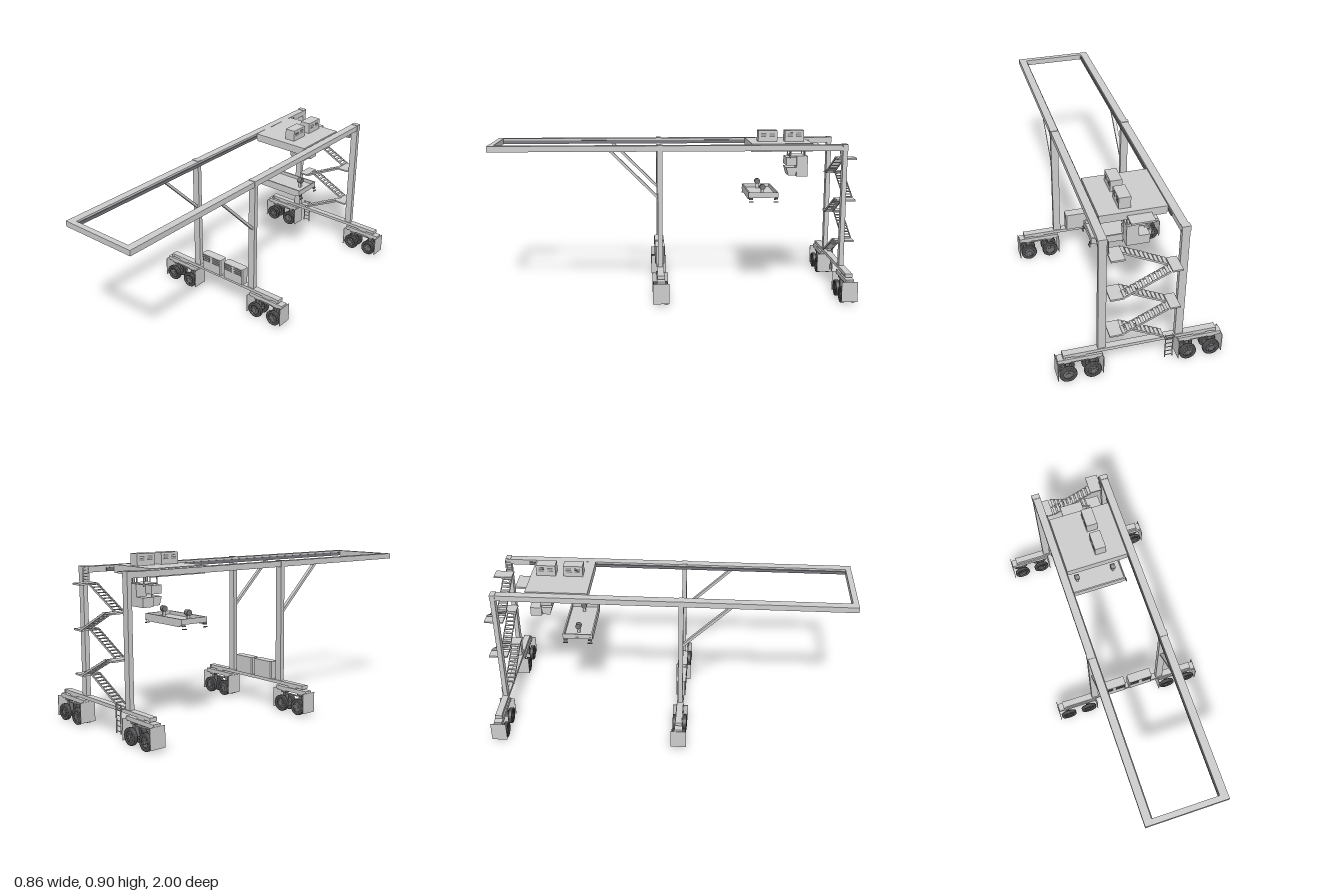
import * as THREE from 'three';

const paint = new THREE.MeshStandardMaterial({ color: 0xcccccc });
paint.name = 'light grey paint';
const rubber = new THREE.MeshStandardMaterial({ color: 0x4c4c4c });
rubber.name = 'dark rubber';
const steel = new THREE.MeshStandardMaterial({ color: 0x74767a });
steel.name = 'dark steel';

function add(parent, name, geo, mat = paint) {
  const m = new THREE.Mesh(geo, mat);
  m.name = name;
  parent.add(m);
  return m;
}

// box given by its min and max on each axis
function box(parent, name, x0, x1, y0, y1, z0, z1, mat) {
  const m = add(parent, name, new THREE.BoxGeometry(x1 - x0, y1 - y0, z1 - z0), mat);
  m.position.set((x0 + x1) / 2, (y0 + y1) / 2, (z0 + z1) / 2);
  return m;
}

// rectangular bar between two points
function bar(parent, name, a, b, w, h, mat) {
  const p = new THREE.Vector3(...a), q = new THREE.Vector3(...b);
  const m = add(parent, name, new THREE.BoxGeometry(w, h, p.distanceTo(q)), mat);
  m.position.copy(p).lerp(q, 0.5);
  m.lookAt(q);
  return m;
}

// outline in x/y extruded symmetrically along z
function slab(parent, name, pts, depth, mat) {
  const s = new THREE.Shape(pts.map(p => new THREE.Vector2(...p)));
  const g = new THREE.ExtrudeGeometry(s, { depth, bevelEnabled: false });
  return add(parent, name, g.translate(0, 0, -depth / 2), mat);
}

function group(parent, name, x = 0, y = 0, z = 0) {
  const g = new THREE.Group();
  g.name = name;
  g.position.set(x, y, z);
  parent.add(g);
  return g;
}

const tyreProfile = [[0.027, -0.009], [0.036, -0.011], [0.043, -0.0105], [0.045, -0.007],
  [0.045, 0.007], [0.043, 0.0105], [0.036, 0.011], [0.027, 0.009], [0.027, -0.009]];
const tyreGeo = new THREE.LatheGeometry(tyreProfile.map(p => new THREE.Vector2(...p)), 32).rotateX(Math.PI / 2);
const rimGeo = new THREE.CylinderGeometry(0.027, 0.027, 0.014, 32).rotateX(Math.PI / 2);
const ringGeo = new THREE.TorusGeometry(0.026, 0.0015, 6, 32);
const hubGeo = new THREE.CylinderGeometry(0.01, 0.012, 0.021, 16).rotateX(Math.PI / 2);
const nutGeo = new THREE.CylinderGeometry(0.002, 0.002, 0.018, 6).rotateX(Math.PI / 2);

function wheel(parent, x, z) {
  const w = group(parent, 'wheel', x, 0.045, z);
  add(w, 'tyre', tyreGeo, rubber);
  add(w, 'rim', rimGeo, steel);
  add(w, 'hub', hubGeo, steel);
  for (const s of [-1, 1]) add(w, 'rimRing', ringGeo, rubber).position.z = s * 0.008;
  for (let i = 0; i < 8; i++) {
    const a = i * Math.PI / 4;
    add(w, 'wheelNut', nutGeo, rubber).position.set(Math.cos(a) * 0.018, Math.sin(a) * 0.018, 0);
  }
}

// four pairs of wheels under a tapered housing, with guard plates at both ends
function bogie(parent, x, z) {
  const b = group(parent, 'bogie', x, 0, z);
  slab(b, 'bogieHousing', [[-0.105, 0.115], [0.105, 0.115], [0.114, 0.122], [0.114, 0.137], [-0.114, 0.137], [-0.114, 0.122]], 0.044);
  box(b, 'pivot', -0.03, 0.03, 0.137, 0.147, -0.015, 0.015);
  box(b, 'tieBar', -0.063, 0.063, 0.094, 0.099, -0.006, 0.006);
  for (const s of [-1, 1]) {
    box(b, 'guardPlate', s * 0.1155 - 0.0015, s * 0.1155 + 0.0015, 0.017, 0.126, -0.043, 0.043);
    box(b, 'axleBracket', s * 0.063 - 0.01, s * 0.063 + 0.01, 0.04, 0.105, -0.012, 0.012, steel);
    box(b, 'bracketCap', s * 0.063 - 0.018, s * 0.063 + 0.018, 0.103, 0.115, -0.018, 0.018, steel);
    const axle = add(b, 'axle', new THREE.CylinderGeometry(0.007, 0.007, 0.06, 12).rotateX(Math.PI / 2), steel);
    axle.position.set(s * 0.063, 0.045, 0);
    for (const t of [-1, 1]) wheel(b, s * 0.063, t * 0.029);
  }
}

function ladder(parent, x0, x1, y0, y1, z, step) {
  const l = group(parent, 'ladder');
  for (const x of [x0, x1]) box(l, 'ladderRail', x - 0.002, x + 0.002, y0, y1, z - 0.003, z + 0.003);
  for (let y = y0 + step / 2; y < y1; y += step) box(l, 'rung', x0, x1, y - 0.0015, y + 0.0015, z - 0.002, z + 0.002);
}

// one flight of open treads between two stringers
function flight(parent, xa, ya, xb, yb, z0, z1) {
  const f = group(parent, 'stairFlight');
  for (const z of [z0 + 0.002, z1 - 0.002]) bar(f, 'stringer', [xa, ya, z], [xb, yb, z], 0.004, 0.01);
  for (let i = 0; i < 10; i++) {
    const t = (i + 0.5) / 10, x = xa + (xb - xa) * t, y = ya + (yb - ya) * t;
    box(f, 'tread', x - 0.008, x + 0.008, y + 0.001, y + 0.005, z0, z1);
  }
}

export function createModel() {
  const crane = new THREE.Group();
  crane.name = 'gantryCrane';
  const FZ = 0.078, RZ = -0.922;

  // undercarriage and legs
  for (const z of [FZ, RZ]) {
    slab(crane, 'sillBeam', [[-0.397, 0.145], [0.397, 0.145], [0.392, 0.163], [-0.392, 0.163]], 0.036).position.z = z;
    for (const s of [-1, 1]) {
      bogie(crane, s * 0.312, z);
      box(crane, 'leg', s * 0.2 - 0.02, s * 0.2 + 0.02, 0.163, 0.815, z - 0.0125, z + 0.0125);
      box(crane, 'legCap', s * 0.2 - 0.022, s * 0.2 + 0.022, 0.8, 0.834, z - 0.014, z + 0.014);
      box(crane, 'sillEnd', s * 0.392 - 0.006, s * 0.392 + 0.006, 0.143, 0.163, z - 0.02, z + 0.02);
    }
  }

  // boom beams, trolley rails, diagonal braces
  for (const s of [-1, 1]) {
    box(crane, 'mainBeam', s * 0.198 - 0.021, s * 0.198 + 0.021, 0.8, 0.831, -0.925, 1);
    box(crane, 'trolleyRail', s * 0.1745 - 0.003, s * 0.1745 + 0.003, 0.803, 0.82, -0.8, 0.97, steel);
    bar(crane, 'brace', [s * 0.2, 0.545, FZ + 0.008], [s * 0.2, 0.808, 0.35], 0.02, 0.014);
  }
  box(crane, 'endBeam', -0.18, 0.18, 0.8, 0.831, 0.97, 1);

  // power units on the front sill
  for (const x of [-0.083, 0.078]) {
    const u = group(crane, 'powerUnit', x, 0, FZ);
    const c = 0.006, w = 0.07, d = 0.026;
    const s = new THREE.Shape([[-w, -d + c], [-w + c, -d], [w - c, -d], [w, -d + c], [w, d - c], [w - c, d], [-w + c, d], [-w, d - c]]
      .map(p => new THREE.Vector2(...p)));
    const g = new THREE.ExtrudeGeometry(s, { depth: 0.099, bevelEnabled: false }).rotateX(-Math.PI / 2);
    add(u, 'powerUnitBody', g).position.y = 0.163;
    for (const px of [-0.035, 0.035]) for (let i = 0; i < 4; i++) {
      const y = 0.22 + i * 0.0115;
      box(u, 'louvre', px - 0.026, px + 0.026, y, y + 0.005, d, d + 0.002, steel);
    }
  }

  // trolley with two machine boxes
  const trolley = group(crane, 'trolley');
  box(trolley, 'trolleyDeck', -0.171, 0.171, 0.8, 0.834, -0.757, -0.422);
  box(trolley, 'deckUnderside', -0.165, 0.165, 0.79, 0.8, -0.757, -0.422);
  box(trolley, 'rearStep', -0.09, 0.032, 0.802, 0.812, -0.826, -0.757);
  for (const z of [-0.523, -0.672]) {
    box(trolley, 'machineBox', 0.004, 0.065, 0.834, 0.896, z - 0.053, z + 0.053);
    for (const dz of [-0.024, 0.024]) for (let i = 0; i < 3; i++) for (const x of [0.004, 0.065]) {
      const y = 0.86 + i * 0.009;
      box(trolley, 'vent', x - 0.001, x + 0.001, y, y + 0.005, z + dz - 0.015, z + dz + 0.015, steel);
    }
  }

  // operator cab: upper band, open window, tapered nose and rear cabin
  const cab = group(crane, 'cab');
  box(cab, 'cabHead', -0.08, 0.024, 0.695, 0.74, -0.7, -0.637);
  const nose = slab(cab, 'cabNose', [[0.637, 0.682], [0.7, 0.682], [0.69, 0.637], [0.65, 0.637]].map(p => [-p[0], p[1]]).reverse(), 0.104);
  nose.rotation.y = -Math.PI / 2;
  nose.position.set(-0.028, 0, 0);
  nose.geometry.scale(-1, 1, -1);
  nose.rotation.y = Math.PI / 2;
  box(cab, 'cabRear', -0.03, 0.032, 0.632, 0.748, -0.757, -0.695);
  box(cab, 'cabRearSide', -0.088, -0.03, 0.632, 0.682, -0.757, -0.695);
  for (const x of [-0.078, 0.022]) box(cab, 'windowPost', x - 0.002, x + 0.002, 0.68, 0.697, -0.7, -0.694);
  for (const x of [-0.073, -0.012, 0.013, 0.028]) for (const z of [-0.66, -0.74])
    box(cab, 'hanger', x - 0.0025, x + 0.0025, 0.735, 0.792, z - 0.0025, z + 0.0025);
  box(cab, 'hangerFrame', -0.075, 0.03, 0.745, 0.75, -0.745, -0.655);

  // container spreader with sheaves and corner hooks
  const spreader = group(crane, 'spreader', 0, 0, -0.492);
  slab(spreader, 'spreaderDeck', [[-0.16, 0.535], [0.158, 0.535], [0.158, 0.545], [-0.16, 0.545]], 0.16);
  for (const z of [-0.078, 0.078])
    slab(spreader, 'spreaderSide', [[-0.135, 0.523], [0.133, 0.523], [0.158, 0.535], [0.158, 0.564], [-0.16, 0.564], [-0.16, 0.535]], 0.008).position.z = z;
  for (const s of [-1, 1]) {
    box(spreader, 'spreaderEnd', s * 0.156 - 0.003, s * 0.156 + 0.003, 0.535, 0.564, -0.08, 0.08);
    const sheave = add(spreader, 'sheave', new THREE.CylinderGeometry(0.016, 0.016, 0.026, 24).rotateZ(Math.PI / 2), steel);
    sheave.position.set(s * 0.107, 0.587, 0);
    box(spreader, 'sheaveMount', s * 0.107 - 0.006, s * 0.107 + 0.006, 0.545, 0.58, -0.008, 0.008);
    for (const z of [-0.068, 0.068]) {
      bar(spreader, 'hookArm', [s * 0.152, 0.535, z], [s * 0.168, 0.522, z], 0.008, 0.008, steel);
      bar(spreader, 'hookTip', [s * 0.167, 0.525, z], [s * 0.163, 0.5, z], 0.007, 0.005, steel);
    }
  }

  // zigzag stairs behind the rear legs
  const stairs = group(crane, 'stairs');
  const levels = [0.173, 0.29, 0.403, 0.52, 0.633, 0.75];
  levels.forEach((y, i) => {
    const s = i % 2 ? 1 : -1;
    if (i) box(stairs, 'landing', s > 0 ? 0.11 : -0.175, s > 0 ? 0.178 : -0.122, y - 0.005, y + 0.004, -0.998, -0.895);
    if (i === 5) return;
    const z0 = i % 2 ? -0.998 : -0.945, z1 = z0 + 0.052;
    flight(stairs, s * 0.118, y, -s * 0.113, levels[i + 1], z0, z1);
  });
  for (const z of [-0.905, -0.938]) box(stairs, 'topLadderRail', 0.172, 0.176, 0.75, 0.825, z - 0.002, z + 0.002);
  for (let y = 0.765; y < 0.82; y += 0.015) box(stairs, 'topRung', 0.172, 0.176, y, y + 0.003, -0.938, -0.905);

  // access ladder on the rear sill
  ladder(crane, -0.165, -0.126, 0.036, 0.185, RZ - 0.03, 0.026);
  box(crane, 'ladderStep', -0.175, -0.12, 0.163, 0.167, RZ - 0.032, RZ);
  return crane;
}
